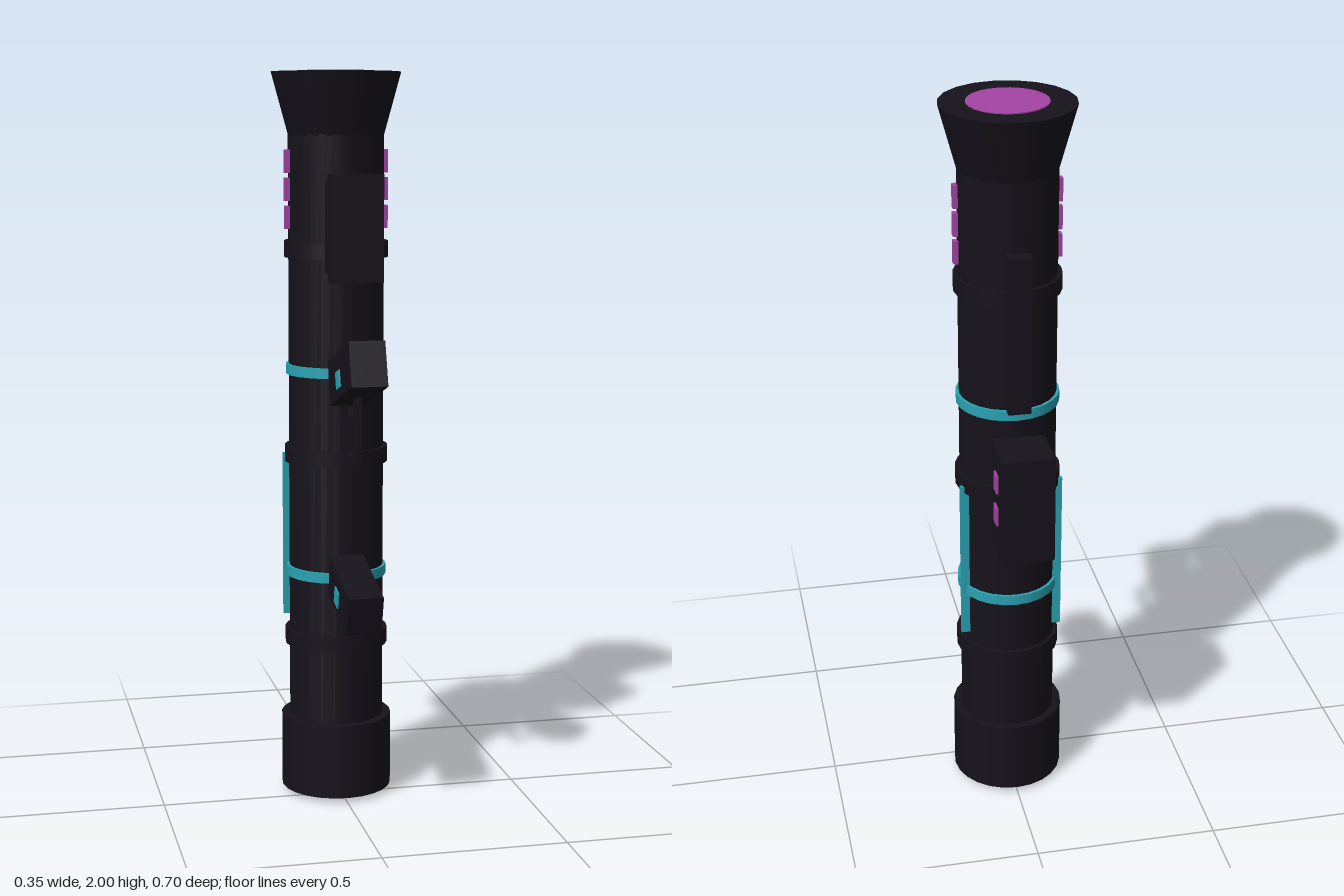
import * as THREE from 'three';

export function createModel() {
  const model = new THREE.Group();
  const AXIS_Z = -0.065; // the tube's axis sits behind the centre
  const mat = (color) => new THREE.MeshStandardMaterial({ color });
  const dark = mat(0x15121a), teal = mat(0x2aa2b2), magenta = mat(0xa444a6);

  function add(parent, name, geometry, material, x, y, z) {
    const mesh = new THREE.Mesh(geometry, material);
    mesh.name = name;
    mesh.position.set(x, y, z);
    parent.add(mesh);
    return mesh;
  }
  // Box centred on x, y, z
  const box = (name, material, w, h, d, x, y, z, parent = model) =>
    add(parent, name, new THREE.BoxGeometry(w, h, d), material, x, y, z);
  // Upright cylinder on the tube axis, from y0 to y1
  const drum = (name, material, rBottom, rTop, y0, y1, sides = 24) =>
    add(model, name, new THREE.CylinderGeometry(rTop, rBottom, y1 - y0, sides),
      material, 0, (y0 + y1) / 2, AXIS_Z);

  // Main tube, flared muzzle and end cap
  drum('tube', dark, 0.13, 0.13, 0.1, 1.85);
  drum('muzzleFlare', dark, 0.122, 0.176, 1.8, 1.997, 20);
  drum('muzzleLens', magenta, 0.106, 0.106, 1.98, 2.0);
  drum('endCap', dark, 0.153, 0.153, 0.013, 0.22);
  drum('endLight', teal, 0.1, 0.1, 0, 0.03);

  // Bands around the tube
  for (const y of [0.447, 0.963, 1.525]) drum('darkBand', dark, 0.142, 0.142, y - 0.022, y + 0.022);
  for (const y of [0.635, 1.198]) drum('glowBand', teal, 0.138, 0.138, y - 0.014, y + 0.014);

  // Side lights, mirrored
  for (const side of [-1, 1]) {
    box('sideStrip', teal, 0.024, 0.46, 0.011, side * 0.128, 0.728, -0.117);
    for (const y of [1.61, 1.685, 1.76])
      box('indicator', magenta, 0.022, 0.062, 0.02, side * 0.131, y, -0.063);
  }

  // Sight on the front
  box('sightBody', dark, 0.12, 0.24, 0.09, 0, 1.59, 0.122);
  box('sightPlate', dark, 0.14, 0.28, 0.043, 0, 1.592, 0.184);

  // Slanted grips with a light on each side
  function grip(name, y, z, tilt, w, h, length, lightY, lightZ) {
    const group = new THREE.Group();
    group.name = name;
    group.position.set(0, y, z);
    group.rotation.x = tilt;
    box('gripBody', dark, w, h, length, 0, 0, 0, group);
    box('gripLight', teal, w + 0.008, 0.045, 0.045, 0, lightY, lightZ, group);
    model.add(group);
  }
  grip('upperGrip', 1.215, 0.202, -0.314, 0.096, 0.12, 0.275, -0.012, -0.012);
  grip('lowerGrip', 0.616, 0.181, 0.25, 0.094, 0.11, 0.25, -0.01, -0.008);

  // Trigger and its guard
  box('triggerGuardPost', dark, 0.022, 0.2, 0.012, 0, 1.08, 0.205);
  box('triggerGuardBar', dark, 0.022, 0.012, 0.115, 0, 0.985, 0.152);
  box('trigger', dark, 0.03, 0.028, 0.064, 0, 1.104, 0.135).rotation.x = -0.14;

  // Rail on the back
  box('backRail', dark, 0.06, 0.43, 0.05, 0, 1.43, -0.205);

  // Power pack on the back
  box('powerPack', dark, 0.14, 0.3, 0.137, 0, 0.99, -0.279);
  for (const y of [0.9, 1.08]) box('packMount', dark, 0.06, 0.06, 0.05, 0, y, -0.196);
  for (const y of [0.955, 1.05]) box('packLight', magenta, 0.02, 0.052, 0.036, 0.066, y, -0.279);
  box('packBaseLight', teal, 0.105, 0.02, 0.09, 0, 0.841, -0.277);

  return model;
}
